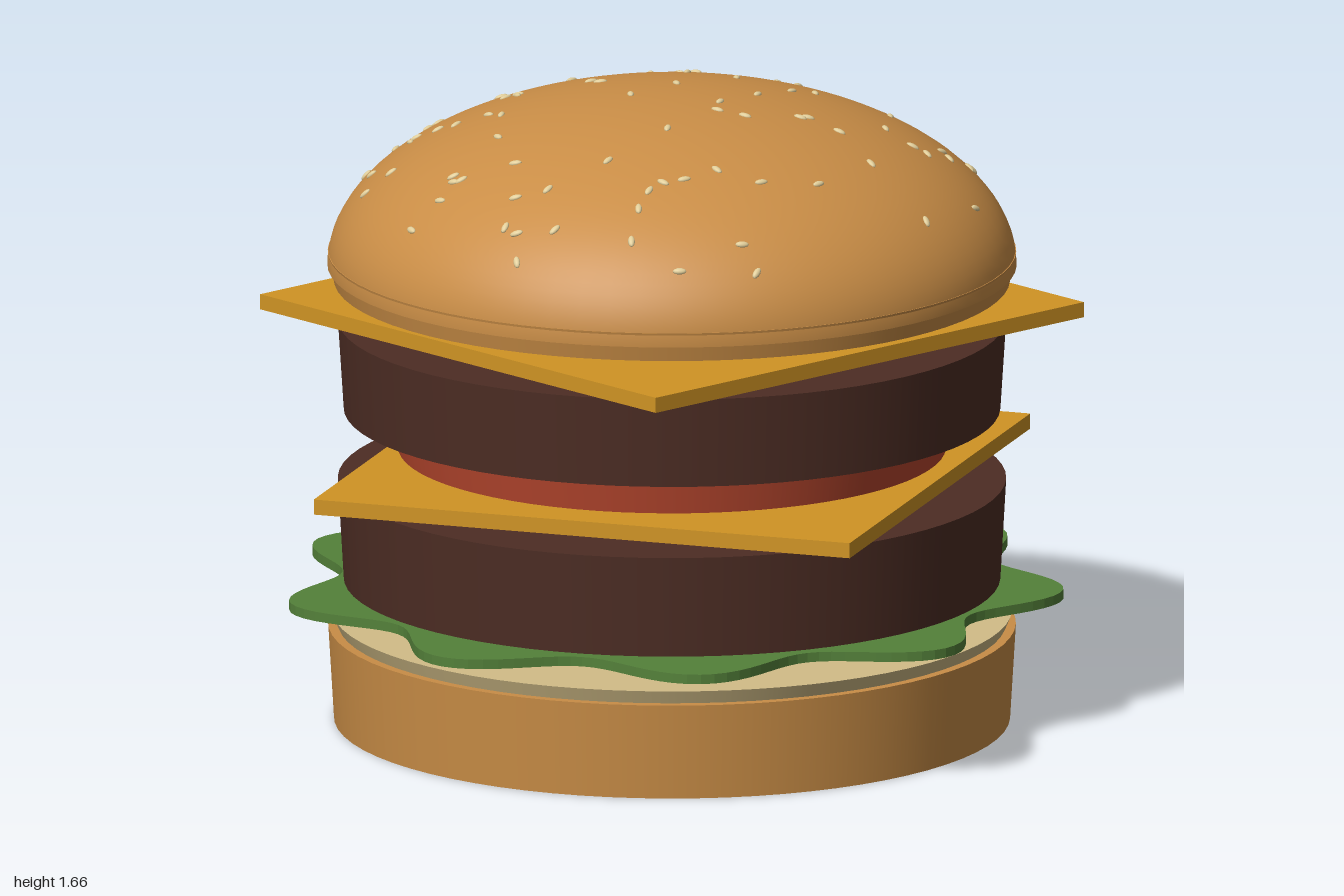
import * as THREE from 'three';
import { mergeGeometries } from 'three/addons/utils/BufferGeometryUtils.js';

const paint = (name, color) => {
  const m = new THREE.MeshStandardMaterial({ color });
  m.name = name;
  return m;
};

export function createModel() {
  const bun = paint('toasted bun', 0xc98d46);
  const meat = paint('grilled patty', 0x4d2d24);
  const cheese = paint('cheese yellow', 0xd09424);
  const green = paint('lettuce green', 0x54813a);
  const red = paint('tomato red', 0xb8472e);
  const cream = paint('sauce cream', 0xd2bd88);
  const seedColor = paint('sesame', 0xdfcc98);

  const group = new THREE.Group();
  group.name = 'burger';
  group.position.set(0.02, 0, -0.005);

  const add = (name, geometry, material, y = 0) => {
    const mesh = new THREE.Mesh(geometry, material);
    mesh.name = name;
    mesh.position.y = y;
    group.add(mesh);
    return mesh;
  };
  // Slightly tapered round layer between two heights
  const layer = (name, y0, y1, rBottom, rTop, material) =>
    add(name, new THREE.CylinderGeometry(rTop, rBottom, y1 - y0, 72), material, (y0 + y1) / 2);
  // Square slice turned about the vertical axis
  const slice = (name, y, side, turn) => {
    add(name, new THREE.BoxGeometry(side, 0.04, side), cheese, y).rotation.y = turn;
  };

  layer('bottomBun', 0, 0.25, 0.87, 0.885, bun);
  layer('sauce', 0.25, 0.285, 0.86, 0.875, cream);
  layer('lowerPatty', 0.37, 0.635, 0.845, 0.86, meat);
  slice('lowerCheese', 0.67, 1.455, 0.3);
  layer('tomato', 0.715, 0.795, 0.705, 0.72, red);
  layer('upperPatty', 0.82, 1.055, 0.845, 0.86, meat);
  slice('upperCheese', 1.09, 1.5, -0.2);

  // Lettuce leaf with nine ruffles
  const outline = [];
  for (let i = 0; i < 180; i++) {
    const a = (i / 180) * Math.PI * 2;
    const r = 0.932 - 0.08 * Math.cos(9 * a);
    outline.push(new THREE.Vector2(r * Math.cos(a), r * Math.sin(a)));
  }
  const leaf = new THREE.ExtrudeGeometry(new THREE.Shape(outline), { depth: 0.025, bevelEnabled: false });
  leaf.rotateX(Math.PI / 2);
  add('lettuce', leaf, green, 0.363);

  // Top bun: rim and flattened dome
  const domeR = 0.887, domeH = 0.46, domeY = 1.2;
  layer('topBunRim', 1.16, 1.237, 0.87, 0.886, bun);
  const dome = new THREE.SphereGeometry(domeR, 72, 28, 0, Math.PI * 2, 0, Math.PI / 2);
  dome.scale(1, domeH / domeR, 1);
  add('topBunDome', dome, bun, domeY);

  // Sesame seeds lying on the dome
  let state = 7;
  const random = () => (state = (state * 16807) % 2147483647) / 2147483647;
  const up = new THREE.Vector3(0, 1, 0);
  const seeds = [];
  for (let i = 0; i < 95; i++) {
    const phi = 0.1 + 1.1 * Math.pow(random(), 0.6);
    const a = random() * Math.PI * 2;
    const p = new THREE.Vector3(
      domeR * Math.sin(phi) * Math.cos(a), domeH * Math.cos(phi), domeR * Math.sin(phi) * Math.sin(a));
    const normal = new THREE.Vector3(p.x / domeR ** 2, p.y / domeH ** 2, p.z / domeR ** 2).normalize();
    const turn = new THREE.Quaternion().setFromUnitVectors(up, normal)
      .multiply(new THREE.Quaternion().setFromAxisAngle(up, random() * Math.PI));
    const seed = new THREE.SphereGeometry(1, 10, 8);
    seed.applyMatrix4(new THREE.Matrix4().compose(p, turn, new THREE.Vector3(0.018, 0.007, 0.009)));
    seeds.push(seed);
  }
  add('sesameSeeds', mergeGeometries(seeds), seedColor, domeY);

  const model = new THREE.Group();
  model.name = 'stackedBurger';
  model.add(group);
  return model;
}
